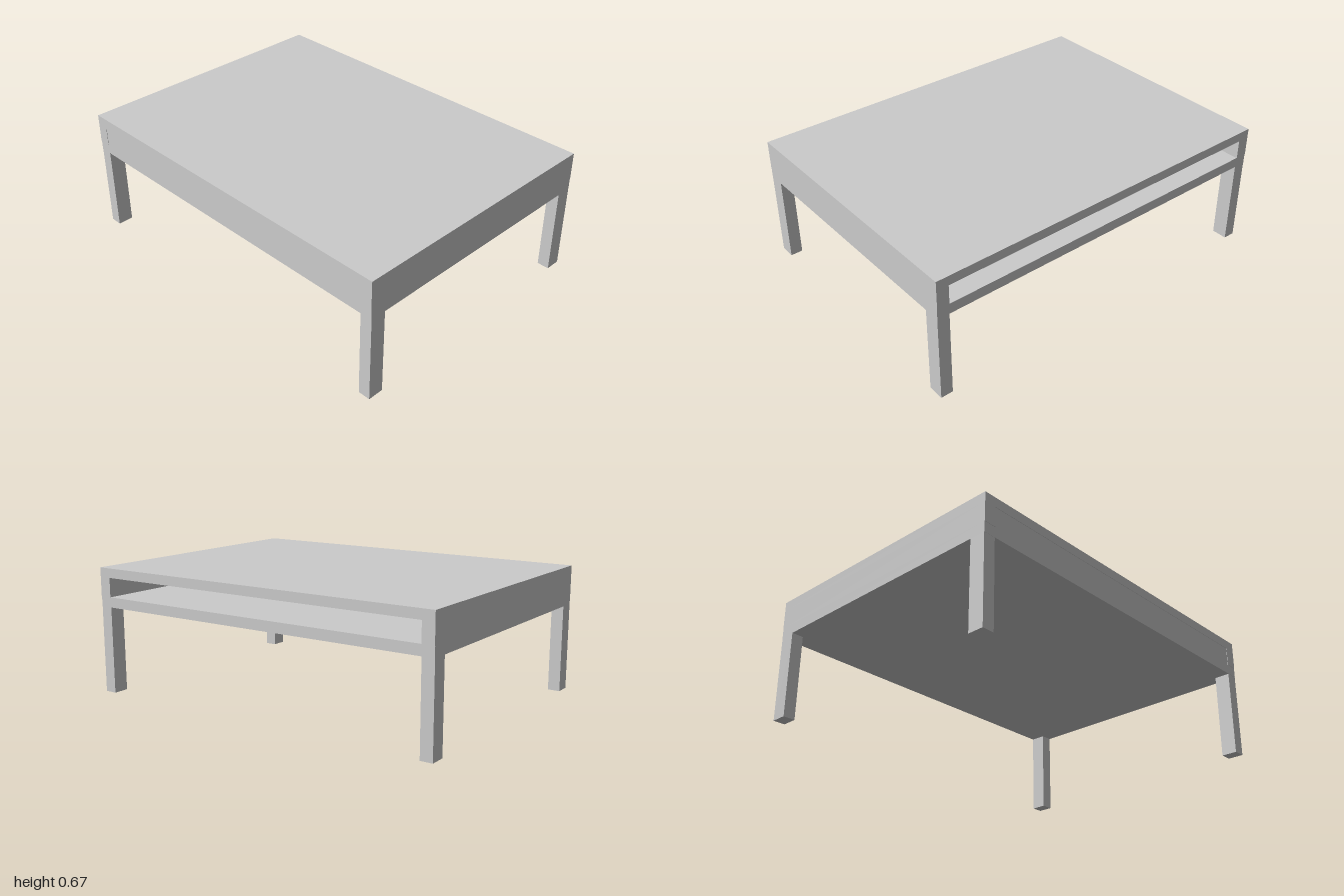
import * as THREE from 'three';

export function createModel() {
  const model = new THREE.Group();
  const material = new THREE.MeshStandardMaterial({ color: 0xcccccc, flatShading: true });

  // Box given by its minimum and maximum on each axis
  function box(name, [x0, x1], [y0, y1], [z0, z1]) {
    const mesh = new THREE.Mesh(new THREE.BoxGeometry(x1 - x0, y1 - y0, z1 - z0), material);
    mesh.position.set((x0 + x1) / 2, (y0 + y1) / 2, (z0 + z1) / 2);
    mesh.name = name;
    model.add(mesh);
  }

  const W = 0.732, D = 1; // half width and half depth
  const legW = 0.084, legD = 0.065;
  const under = 0.463, shelfTop = 0.517, slotTop = 0.62, top = 0.67;

  // Table top and the shelf below it
  box('tableTop', [-W, W], [slotTop, top], [-D, D]);
  box('lowerShelf', [-W + 0.002, W - 0.002], [under, shelfTop], [-D, D]);

  // End walls of the storage slot
  for (const [name, z] of [['frontWall', D - legD], ['backWall', -D]])
    box(name, [-W, W], [shelfTop, slotTop], [z, z + legD]);

  // Closed right side; the left side stays open
  box('sidePanel', [-W + 0.002, -W + 0.05], [shelfTop, slotTop], [-D + legD, D - legD]);

  // Corner legs
  for (const [side, x] of [['Left', W - 0.003 - legW], ['Right', -W + 0.003]])
    for (const [end, z] of [['front', D - legD], ['back', -D]])
      box(`${end}${side}Leg`, [x, x + legW], [0, under], [z, z + legD]);

  return model;
}
